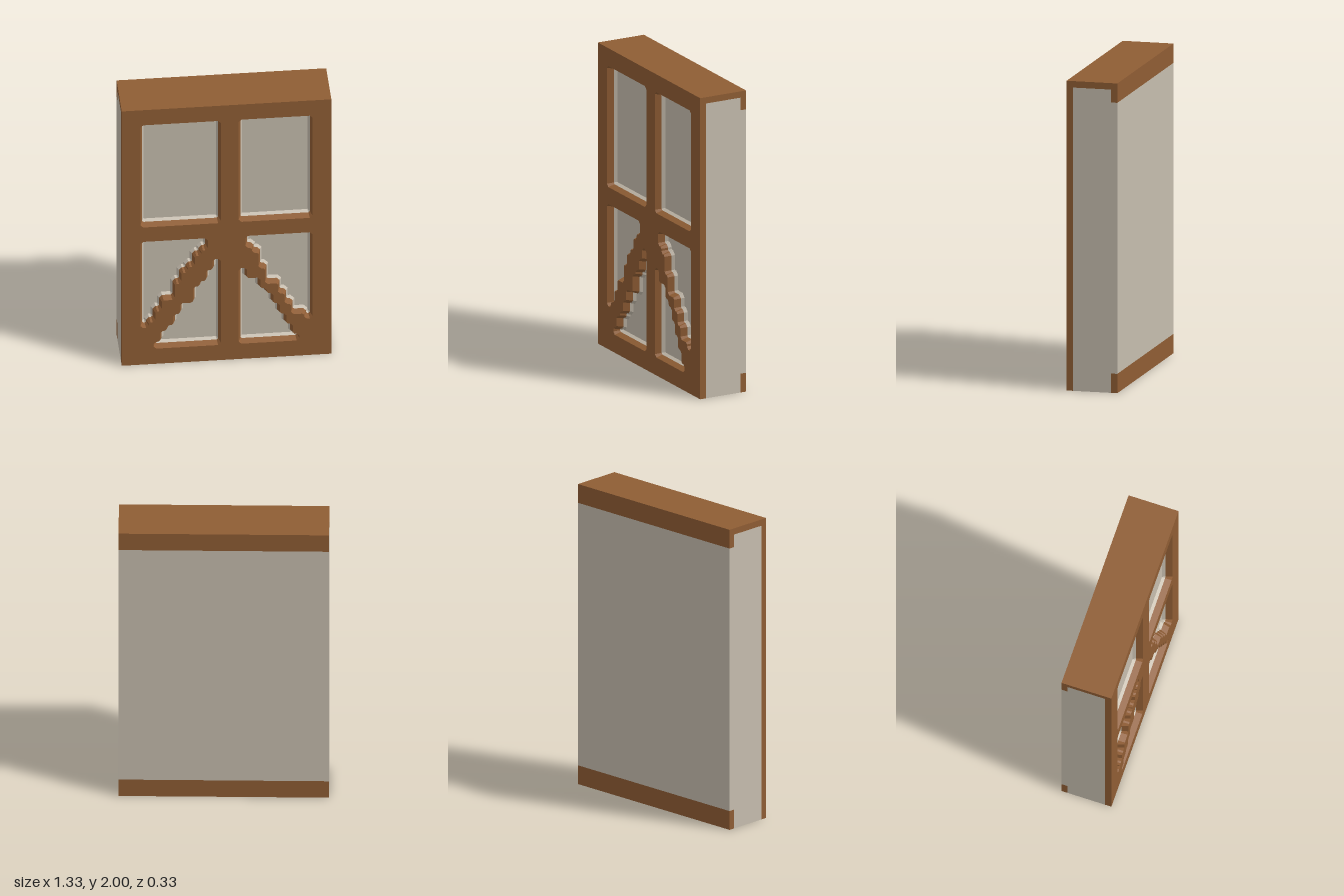
import * as THREE from 'three';

const U = 1 / 24; // grid cell
const W = 16 * U, D = 4 * U; // half width, half depth

// Counter-clockwise outline from column floors and ceilings, starting at column x0
function outline(x0, floors, ceils) {
  const raw = [];
  floors.forEach((f, i) => raw.push([x0 + i, f], [x0 + i + 1, f]));
  for (let i = ceils.length - 1; i >= 0; i--) raw.push([x0 + i + 1, ceils[i]], [x0 + i, ceils[i]]);
  const pts = raw.filter((p, i) => {
    const q = raw[(i + 1) % raw.length];
    return p[0] !== q[0] || p[1] !== q[1];
  });
  // keep true corners only
  const corners = pts.filter((p, i) => {
    const a = pts[(i + pts.length - 1) % pts.length], b = pts[(i + 1) % pts.length];
    return Math.abs((p[0] - a[0]) * (b[1] - p[1]) - (p[1] - a[1]) * (b[0] - p[0])) > 1e-6;
  }).map(p => new THREE.Vector2(p[0] * U, p[1] * U));
  // chamfer each corner
  const out = [];
  corners.forEach((p, i) => {
    const n = corners.length;
    for (const q of [corners[(i + n - 1) % n], corners[(i + 1) % n]]) {
      out.push(p.clone().add(q.clone().sub(p).setLength(0.014)));
    }
  });
  return out;
}

// Moves every edge of an outline inward by d
function inset(pts, d) {
  const n = pts.length;
  return pts.map((p, i) => {
    const a = p.clone().sub(pts[(i + n - 1) % n]).normalize();
    const b = pts[(i + 1) % n].clone().sub(p).normalize();
    const m = new THREE.Vector2(-a.y - b.y, a.x + b.x);
    return p.clone().addScaledVector(m, d / (1 + a.dot(b)));
  });
}

// Sloping reveal between two matching loops
function reveal(front, zf, back, zb) {
  const v = [];
  front.forEach((p, i) => {
    const j = (i + 1) % front.length;
    const a = [p.x, p.y, zf], b = [front[j].x, front[j].y, zf];
    const c = [back[j].x, back[j].y, zb], d = [back[i].x, back[i].y, zb];
    v.push(...a, ...b, ...c, ...a, ...c, ...d);
  });
  const g = new THREE.BufferGeometry();
  g.setAttribute('position', new THREE.Float32BufferAttribute(v, 3));
  g.computeVertexNormals();
  return g;
}

// Full-size slab pierced by loops
function pierced(loops, z0, z1, top) {
  const s = new THREE.Shape([
    new THREE.Vector2(-W, 0), new THREE.Vector2(W, 0),
    new THREE.Vector2(W, top), new THREE.Vector2(-W, top)]);
  s.holes = loops.map(l => new THREE.Path(l));
  return new THREE.ExtrudeGeometry(s, { depth: z1 - z0, bevelEnabled: false }).translate(0, 0, z0);
}

export function createModel() {
  const group = new THREE.Group();
  const wood = new THREE.MeshStandardMaterial({ color: 0x8f5d34 });
  wood.name = 'brown wood';
  const plaster = new THREE.MeshStandardMaterial({ color: 0xc6bdae });
  plaster.name = 'pale plaster';

  const add = (name, geo, mat) => {
    const m = new THREE.Mesh(geo, mat);
    m.name = name;
    group.add(m);
  };
  const box = (name, mat, y0, y1, z0, z1) =>
    add(name, new THREE.BoxGeometry(2 * W, y1 - y0, z1 - z0).translate(0, (y0 + y1) / 2, (z0 + z1) / 2), mat);
  const flat = (n, h) => Array(n).fill(h);

  // Openings between the timbers: two windows, then two stepped panels per brace
  const openings = [
    outline(-13, flat(12, 26), flat(12, 45)),
    outline(2, flat(11, 26), flat(11, 45)),
    outline(-13, [7, 8, 10, 12, 12, 15, 17, 18, 20, 21], flat(10, 23)),
    outline(-11, flat(10, 3), [4, 6, 7, 9, 11, 11, 14, 15, 17, 19]),
    outline(3, [21, 20, 17, 14, 14, 12, 10, 8, 8, 7], flat(10, 23)),
    outline(2, flat(9, 3), [17, 15, 15, 13, 12, 10, 8, 6, 4]),
  ];
  const zFace = D, zMid = 3 * U, zPane = 0.105;
  const outer = openings.map(o => inset(o, -0.006));
  const middle = openings.map(o => inset(o, 0.008));
  const inner = openings.map(o => inset(o, 0.02));

  // Timber front with sloping reveals
  add('timberFrame', pierced(outer, zMid, zFace, 2), wood);
  add('plasterFront', pierced(middle, zPane, zMid, 2 - U), plaster);
  openings.forEach((_, i) => {
    add('woodReveal' + i, reveal(outer[i], zFace, middle[i], zMid), wood);
    add('plasterReveal' + i, reveal(middle[i], zMid, inner[i], zPane), plaster);
  });

  // Wall core, top board and back rails
  box('wallCore', plaster, 0, 2 - U, -zMid, zPane);
  box('backPanel', plaster, 3 * U, 2 - 3 * U, -D, -zMid);
  box('topBoard', wood, 2 - U, 2, -zMid, zMid);
  box('lowerBackRail', wood, 0, 3 * U, -D, -zMid);
  box('upperBackRail', wood, 2 - 3 * U, 2, -D, -zMid);
  return group;
}
